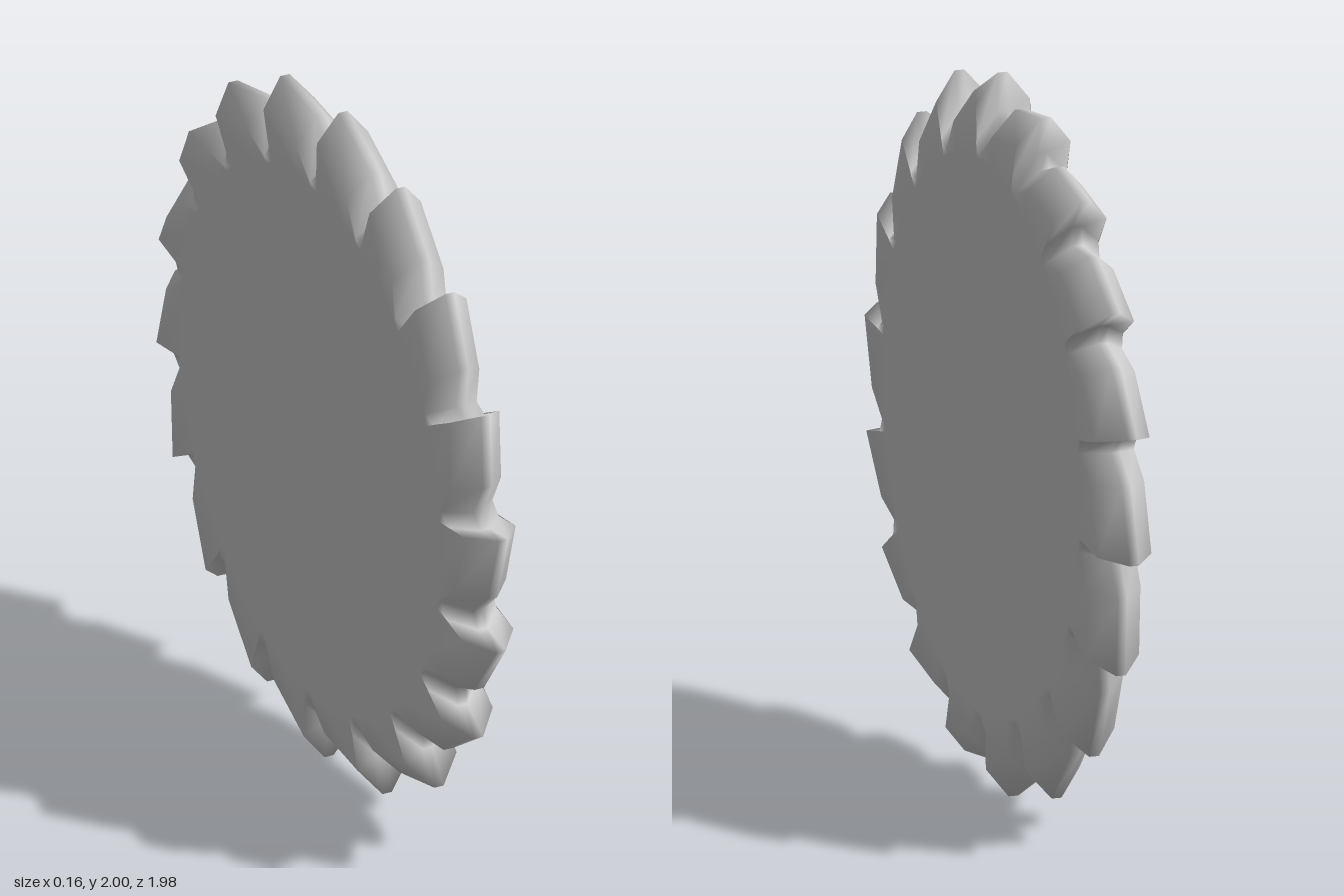
import * as THREE from 'three';

const TEETH = 18;
const HALF = 0.078; // half thickness of the disc
const EDGE = 0.014; // half width of the cutting edge

// One tooth as [angle in degrees, radius]: tip, gullet wall, gullet, shoulder
const TOOTH = [[-2.4, 1.0], [-2.6, 0.889], [0, 0.855], [5.6, 0.932]];

// Full outline, running clockwise as seen from +x
function bladeOutline() {
  const pts = [];
  for (let t = 0; t < TEETH; t++) {
    for (const [deg, r] of TOOTH) {
      pts.push({ a: THREE.MathUtils.degToRad(deg + (t * 360) / TEETH), r });
    }
  }
  return pts;
}

function bladeGeometry() {
  const outline = bladeOutline();
  const n = outline.length;
  // Cross-section from the +x centre, over the rim, to the -x centre
  const side = [
    { x: HALF, radius: () => 0 },
    { x: HALF, radius: () => 0.77 },
    { x: HALF, radius: (r) => r * 0.92 },
    { x: EDGE, radius: (r) => r },
  ];
  const rings = [...side, ...side.map((s) => ({ x: -s.x, radius: s.radius })).reverse()];

  const pos = [];
  const index = [];
  for (const ring of rings) {
    for (const { a, r } of outline) {
      const q = ring.radius(r);
      pos.push(ring.x, 1 + q * Math.cos(a), -q * Math.sin(a));
    }
  }
  for (let j = 0; j < rings.length - 1; j++) {
    for (let i = 0; i < n; i++) {
      const k = (i + 1) % n;
      const a = j * n + i, b = j * n + k, c = a + n, d = b + n;
      if (j > 0) index.push(a, b, c); // the first ring is a single point
      if (j < rings.length - 2) index.push(b, d, c);
      else continue;
    }
  }
  const geo = new THREE.BufferGeometry();
  geo.setAttribute('position', new THREE.Float32BufferAttribute(pos, 3));
  geo.setIndex(index);
  geo.computeVertexNormals();
  return geo;
}

export function createModel() {
  const group = new THREE.Group();
  group.name = 'sawBlade';
  const blade = new THREE.Mesh(
    bladeGeometry(),
    new THREE.MeshStandardMaterial({ color: 0xcccccc })
  );
  blade.name = 'toothedDisc';
  group.add(blade);
  return group;
}
